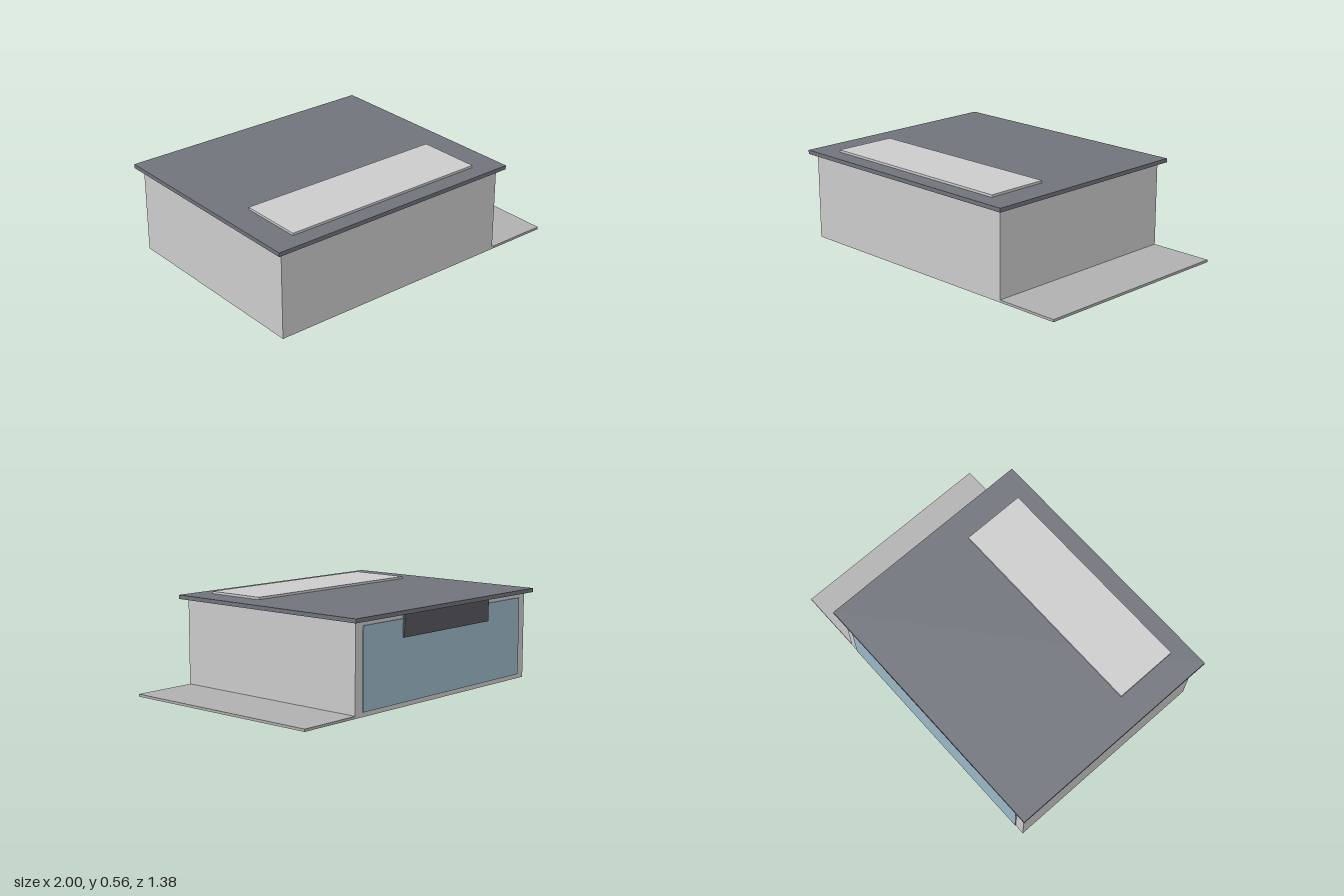
import * as THREE from 'three';

export function createModel() {
  const model = new THREE.Group();

  // Adds a box spanning the given [min, max] ranges
  function addBox(name, color, [x0, x1], [y0, y1], [z0, z1]) {
    const mesh = new THREE.Mesh(
      new THREE.BoxGeometry(x1 - x0, y1 - y0, z1 - z0),
      new THREE.MeshStandardMaterial({ color })
    );
    mesh.name = name;
    mesh.position.set((x0 + x1) / 2, (y0 + y1) / 2, (z0 + z1) / 2);
    model.add(mesh);
  }

  // Main building, with a flat roof overhanging all round
  addBox('walls', 0xcccccc, [-0.96, 0.605], [0, 0.527], [-0.654, 0.654]);
  addBox('roof', 0x70737b, [-1, 0.645], [0.527, 0.551], [-0.692, 0.692]);

  // Raised panel along the front of the roof
  addBox('roofPanel', 0xcccccc, [-0.83, 0.475], [0.551, 0.565], [0.197, 0.588]);

  // Paved strip on the left side
  addBox('paving', 0xb0b0b0, [0.605, 1], [0, 0.015], [-0.654, 0.654]);

  // Glazed wall at the back, with a dark fascia board hung before it
  addBox('backWindow', 0x9bb7c5, [-0.9, 0.545], [0.027, 0.5], [-0.661, -0.652]);
  addBox('fascia', 0x58565c, [-0.57, 0.213], [0.395, 0.527], [-0.672, -0.66]);

  return model;
}
